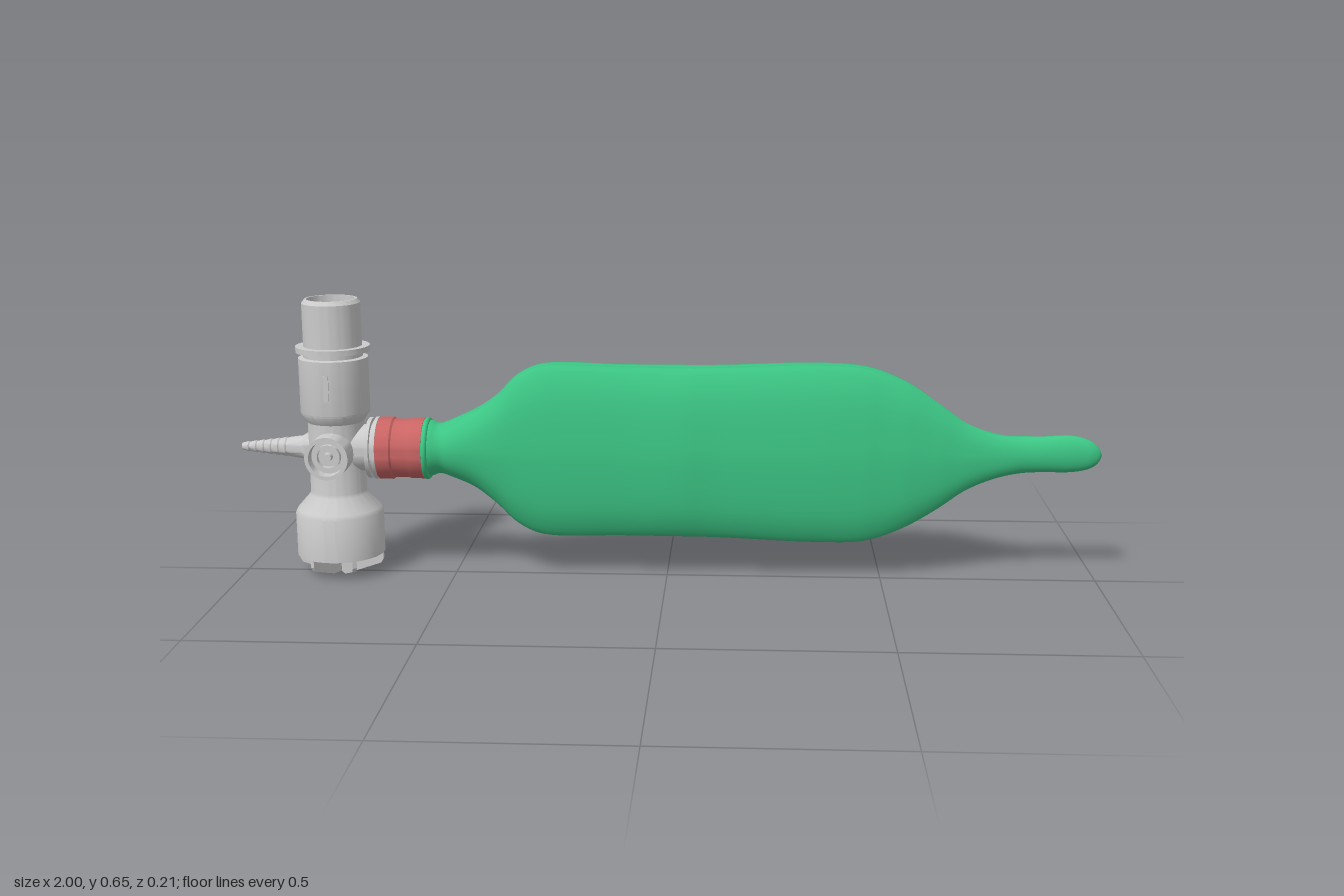
import * as THREE from 'three';
import { toCreasedNormals } from 'three/addons/utils/BufferGeometryUtils.js';

const material = (color) => new THREE.MeshStandardMaterial({ color, side: THREE.DoubleSide });
const grey = material(0xcccccc), red = material(0xc96464), green = material(0x3cc584);
const AXIS_Y = 0.3, AXIS_Z = -0.006, VALVE_X = -0.775;

function addMesh(parent, name, geometry, mat = grey) {
  const mesh = new THREE.Mesh(geometry, mat);
  mesh.name = name;
  parent.add(mesh);
  return mesh;
}

// Turned part from [radius, height] pairs, with crisp steps
function turned(points, segments = 48) {
  const profile = points.map(([r, y]) => new THREE.Vector2(r, y));
  return toCreasedNormals(new THREE.LatheGeometry(profile, segments), 0.5);
}

// Turned part lying along x, from [radius, x] pairs
function turnedX(points) {
  return turned(points).rotateZ(-Math.PI / 2).translate(0, AXIS_Y, AXIS_Z);
}

// Flattened bag: round neck and tail blend into a two-lobed, grooved section
function bagGeometry() {
  // x, top, bottom, half thickness, centre z, lobe amount
  const stations = [
    [-0.57, 0.368, 0.234, 0.067, -0.006, 0], [-0.55, 0.366, 0.236, 0.065, -0.006, 0],
    [-0.53, 0.36, 0.242, 0.06, -0.006, 0], [-0.5, 0.372, 0.232, 0.062, -0.006, 0.05],
    [-0.45, 0.4, 0.208, 0.065, -0.006, 0.25], [-0.4, 0.435, 0.168, 0.066, -0.006, 0.6],
    [-0.35, 0.478, 0.125, 0.066, -0.006, 0.9], [-0.29, 0.501, 0.101, 0.067, -0.006, 1],
    [-0.1, 0.5, 0.1, 0.067, -0.006, 1], [0.1, 0.5, 0.099, 0.067, -0.006, 1],
    [0.35, 0.508, 0.09, 0.066, -0.006, 1], [0.46, 0.5, 0.094, 0.062, -0.007, 1],
    [0.55, 0.468, 0.124, 0.055, -0.008, 0.95], [0.63, 0.418, 0.168, 0.044, -0.009, 0.8],
    [0.7, 0.372, 0.215, 0.034, -0.01, 0.5], [0.78, 0.346, 0.247, 0.027, -0.011, 0.2],
    [0.85, 0.342, 0.258, 0.025, -0.011, 0], [0.93, 0.346, 0.26, 0.023, -0.008, 0],
    [0.97, 0.336, 0.268, 0.019, -0.006, 0], [0.99, 0.321, 0.281, 0.011, -0.005, 0],
    [1, 0.302, 0.3, 0.001, -0.005, 0],
  ];
  const curves = [
    new THREE.CatmullRomCurve3(stations.map((s) => new THREE.Vector3(s[0], s[1], s[2]))),
    new THREE.CatmullRomCurve3(stations.map((s) => new THREE.Vector3(s[3], s[4], s[5]))),
  ];
  const lobe = new THREE.CatmullRomCurve3([[0, 0.69], [0.1, 0.78], [0.18, 0.93], [0.28, 1],
    [0.5, 0.92], [0.77, 0.7], [0.92, 0.4], [1, 0]].map(([z, y]) => new THREE.Vector3(z, y, 0)));
  const ROWS = 120, QUARTER = 18, RING = QUARTER * 4;
  const positions = [], indices = [];
  for (let i = 0; i <= ROWS; i++) {
    const a = curves[0].getPoint(i / ROWS), b = curves[1].getPoint(i / ROWS);
    const top = a.y, bottom = a.z, blend = THREE.MathUtils.clamp(b.z, 0, 1);
    const middle = (top + bottom) / 2, half = (top - bottom) / 2;
    for (let j = 0; j < RING; j++) {
      const q = Math.floor(j / QUARTER), k = j % QUARTER;
      const t = (q % 2 ? QUARTER - k : k) / QUARTER;
      const up = q === 0 || q === 3 ? 1 : -1, side = q < 2 ? 1 : -1;
      const p = lobe.getPoint(t);
      if (up < 0 && p.x < 0.28) p.y = 1 - (1 - p.y) * 0.5;
      const z = THREE.MathUtils.lerp(Math.sin(t * Math.PI / 2), p.x, blend);
      const y = THREE.MathUtils.lerp(Math.cos(t * Math.PI / 2), p.y, blend);
      positions.push(a.x, middle + up * y * half, b.y + side * z * b.x);
    }
  }
  for (let i = 0; i < ROWS; i++) {
    for (let j = 0; j < RING; j++) {
      const p = i * RING + j, q = i * RING + (j + 1) % RING;
      indices.push(p, q, p + RING, q, q + RING, p + RING);
    }
  }
  const geometry = new THREE.BufferGeometry();
  geometry.setAttribute('position', new THREE.Float32BufferAttribute(positions, 3));
  geometry.setIndex(indices);
  geometry.computeVertexNormals();
  return geometry;
}

function createValve() {
  const valve = new THREE.Group();
  valve.name = 'valve';
  valve.position.set(VALVE_X, 0, -0.004);

  // Hollow upright body: bottom cup, stem, collar, flange and open top tube
  addMesh(valve, 'valveBody', turned([
    [0, 0.085], [0.094, 0.085], [0.094, 0.047], [0.102, 0.047], [0.102, 0.148], [0.097, 0.158],
    [0.067, 0.192], [0.065, 0.2], [0.065, 0.365], [0.079, 0.385], [0.08, 0.39], [0.08, 0.516],
    [0.068, 0.518], [0.068, 0.53], [0.085, 0.53], [0.085, 0.543], [0.067, 0.543],
    [0.067, 0.643], [0.06, 0.652], [0.055, 0.652], [0.053, 0.46], [0, 0.46],
  ], 64));

  // Tapered guard vanes under the cup
  const vane = new THREE.Shape([[0, 0], [0.034, 0], [0.094, 0.02], [0.1, 0.03], [0.1, 0.048],
    [0.093, 0.048], [0.093, 0.085], [0, 0.085]].map(([x, y]) => new THREE.Vector2(x, y)));
  const vaneGeometry = new THREE.ExtrudeGeometry(vane, { depth: 0.01, bevelEnabled: false });
  vaneGeometry.translate(0, 0, -0.005);
  for (let i = 0; i < 6; i++) {
    addMesh(valve, 'guardVane', vaneGeometry).rotation.y = i * Math.PI / 3;
  }

  // Small latches on both sides of the collar
  for (const side of [-1, 1]) {
    const latch = addMesh(valve, 'collarLatch', new THREE.BoxGeometry(0.012, 0.06, 0.006));
    latch.position.set(0, 0.455, side * 0.08);
  }

  // Front port with a recessed ring and centre knob
  const port = addMesh(valve, 'frontPort', turned([
    [0.05, 0], [0.05, 0.111], [0.041, 0.111], [0.04, 0.085], [0.029, 0.085],
    [0.029, 0.098], [0.024, 0.098], [0.024, 0.085], [0.01, 0.085], [0.009, 0.1], [0, 0.1],
  ]));
  port.rotation.x = Math.PI / 2;
  port.position.y = 0.298;
  return valve;
}

export function createModel() {
  const model = new THREE.Group();
  model.add(createValve());

  // Barbed hose spike
  const barbs = [[0, -1], [0.008, -1]];
  for (let i = 0; i < 6; i++) {
    const x = -1 + i * 0.018, r = 0.008 + i * 0.0022;
    barbs.push([r, x], [r + 0.004, x + 0.015], [r + 0.002, x + 0.018]);
  }
  barbs.push([0.023, -0.885], [0.027, -0.855], [0.034, -0.845], [0.034, -0.8]);
  addMesh(model, 'hoseSpike', turnedX(barbs));

  // Side outlet with ridges next to the cuff
  addMesh(model, 'sideOutlet', turnedX([
    [0.055, -0.775], [0.055, -0.7], [0.071, -0.697], [0.071, -0.688], [0.063, -0.687],
    [0.063, -0.682], [0.073, -0.681], [0.073, -0.673], [0.06, -0.672], [0.06, -0.6],
  ]));

  // Red cuff joining valve and bag
  addMesh(model, 'cuff', turnedX([
    [0.055, -0.675], [0.07, -0.675], [0.073, -0.671], [0.073, -0.64], [0.069, -0.636],
    [0.069, -0.6], [0.071, -0.596], [0.071, -0.566], [0.05, -0.566],
  ]), red);

  // Rolled rim at the bag's mouth
  const rim = addMesh(model, 'bagRim', new THREE.TorusGeometry(0.066, 0.007, 12, 64), green);
  rim.rotation.y = Math.PI / 2;
  rim.position.set(-0.56, AXIS_Y, AXIS_Z);

  addMesh(model, 'bag', bagGeometry(), green);
  return model;
}
